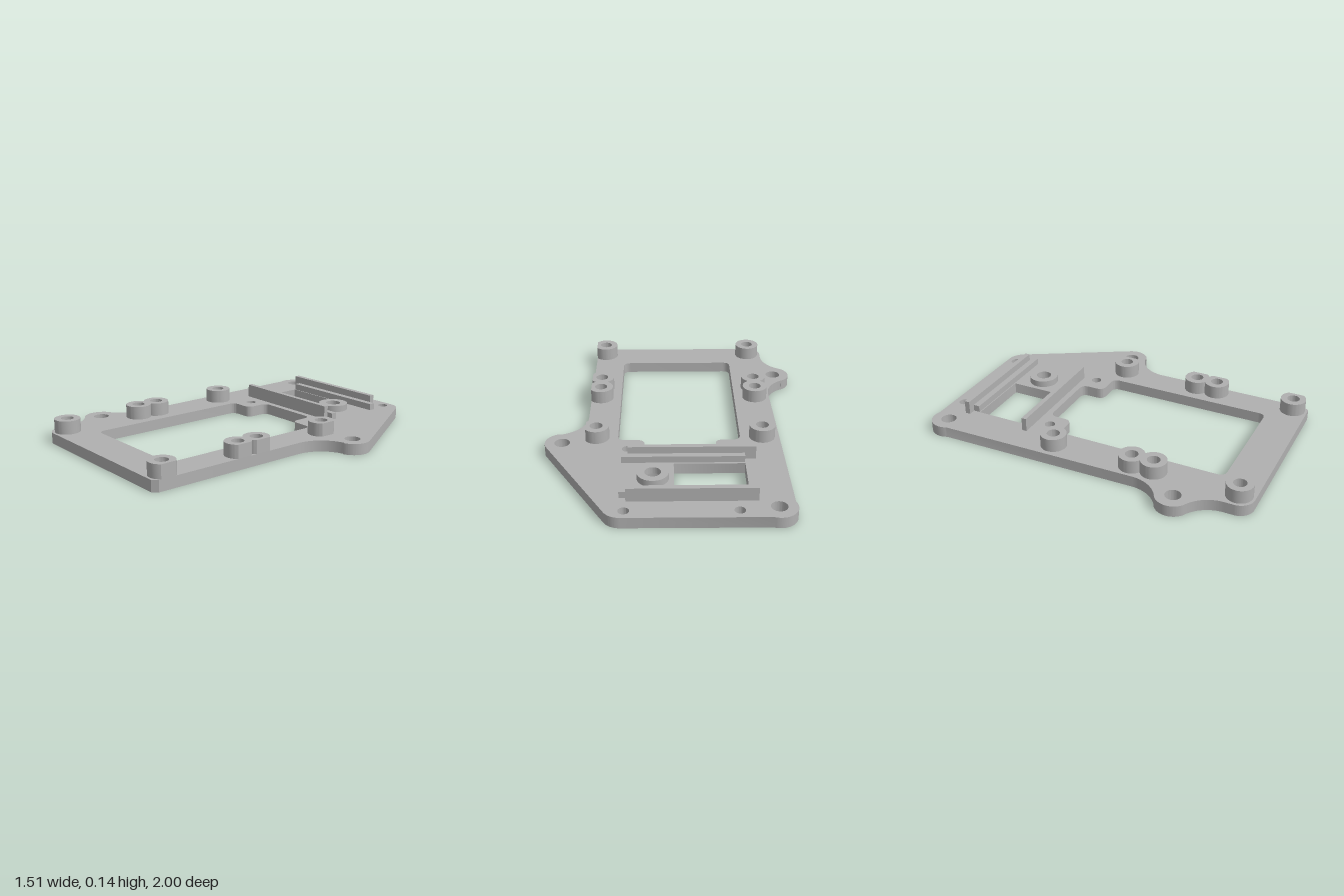
import * as THREE from 'three';
import { toCreasedNormals } from 'three/addons/utils/BufferGeometryUtils.js';

const PI = Math.PI;
const PLATE = 0.065;

// Closed path through corner points, each corner rounded by r
function roundedPath(points, r) {
  const path = new THREE.Path();
  const p = points.map(([x, z]) => new THREE.Vector2(x, z));
  p.forEach((c, i) => {
    const towards = (q) => c.clone().add(q.clone().sub(c).setLength(r));
    const a = towards(p[(i + p.length - 1) % p.length]);
    const b = towards(p[(i + 1) % p.length]);
    if (i === 0) path.moveTo(a.x, a.y);
    else path.lineTo(a.x, a.y);
    path.quadraticCurveTo(c.x, c.y, b.x, b.y);
  });
  path.closePath();
  return path;
}

function circle(x, z, r) {
  return new THREE.Path().absarc(x, z, r, 0, PI * 2, false);
}

export function createModel() {
  const group = new THREE.Group();
  const grey = new THREE.MeshStandardMaterial({ color: 0xb0b0b0 });
  grey.name = 'plastic grey';

  // Plan shapes are drawn in (x, z) and raised from bottom to top
  function raise(name, shape, bottom, top) {
    const geo = new THREE.ExtrudeGeometry(shape, { depth: top - bottom, bevelEnabled: false, curveSegments: 24 });
    geo.rotateX(PI / 2).translate(0, top, 0);
    const mesh = new THREE.Mesh(toCreasedNormals(geo, 0.6), grey);
    mesh.name = name;
    group.add(mesh);
  }

  function box(name, x0, x1, z0, z1, top) {
    const mesh = new THREE.Mesh(new THREE.BoxGeometry(x1 - x0, top - PLATE, z1 - z0), grey);
    mesh.position.set((x0 + x1) / 2, (top + PLATE) / 2, (z0 + z1) / 2);
    mesh.name = name;
    group.add(mesh);
  }

  // Base plate outline with three mounting ears
  const plate = new THREE.Shape();
  plate.moveTo(-0.6, -0.79);
  plate.absarc(-0.53, -0.9, 0.1, 2.69, 5.1, false);
  plate.absarc(0.29, -0.89, 0.1, -PI / 2, -0.517, false);
  plate.absarc(0.65, -0.257, 0.1, -0.517, 1.35, false);
  plate.absarc(0.715, 0.03, 0.2, 1.35 - PI, -PI, true);
  plate.lineTo(0.515, 0.968);
  plate.lineTo(0.488, 0.997);
  plate.absarc(-0.515, 0.912, 0.085, PI / 2, PI, false);
  plate.absarc(-0.8, 0.86, 0.2, 0, -1.07, true);
  plate.absarc(-0.657, 0.597, 0.1, PI - 1.07, PI + 1.07, false);
  plate.absarc(-0.8, 0.335, 0.2, 1.07, 0, true);
  plate.closePath();

  // Large window with narrower neck, and the small rectangular window
  plate.holes.push(roundedPath([
    [-0.38, 0.78], [0.33, 0.78], [0.33, -0.232], [0.175, -0.232],
    [0.175, -0.376], [-0.235, -0.376], [-0.235, -0.232], [-0.38, -0.232],
  ], 0.045));
  plate.holes.push(roundedPath([[-0.388, -0.773], [0.01, -0.773], [0.01, -0.488], [-0.388, -0.488]], 0.002));

  // Ear holes, screw holes and the recess below the wide boss
  for (const [x, z] of [[-0.53, -0.9], [0.65, -0.257], [-0.657, 0.597]]) plate.holes.push(circle(x, z, 0.045));
  for (const x of [-0.325, 0.273]) {
    for (const z of [-0.93, -0.328]) plate.holes.push(circle(x, z, 0.03));
  }
  plate.holes.push(circle(0.125, -0.628, 0.08));

  // Standoffs; those on the +x side are cut flush with the plate edge
  for (const x of [-0.508, 0.455]) {
    const cut = x > 0 ? Math.acos(0.06 / 0.075) : 0;
    for (const z of [-0.197, 0.29, 0.42, 0.908]) {
      plate.holes.push(circle(x, z, 0.037));
      const boss = new THREE.Shape();
      boss.absarc(x, z, 0.075, cut, PI * 2 - cut, false);
      boss.closePath();
      boss.holes.push(circle(x, z, 0.037));
      raise('standoff', boss, PLATE, 0.143);
    }
  }
  raise('basePlate', plate, 0, PLATE);

  // Wide low boss
  const wide = new THREE.Shape();
  wide.absarc(0.125, -0.628, 0.088, 0, PI * 2, false);
  wide.holes.push(circle(0.125, -0.628, 0.045));
  raise('wideBoss', wide, PLATE, 0.104);

  // Stepped rails either side of the small window
  box('backRail', -0.43, 0.265, -0.848, -0.817, 0.145);
  box('backRailStep', -0.387, 0.302, -0.817, -0.779, 0.104);
  box('frontRail', -0.45, 0.265, -0.441, -0.412, 0.145);
  box('frontRailStep', -0.387, 0.302, -0.476, -0.441, 0.104);

  return group;
}
